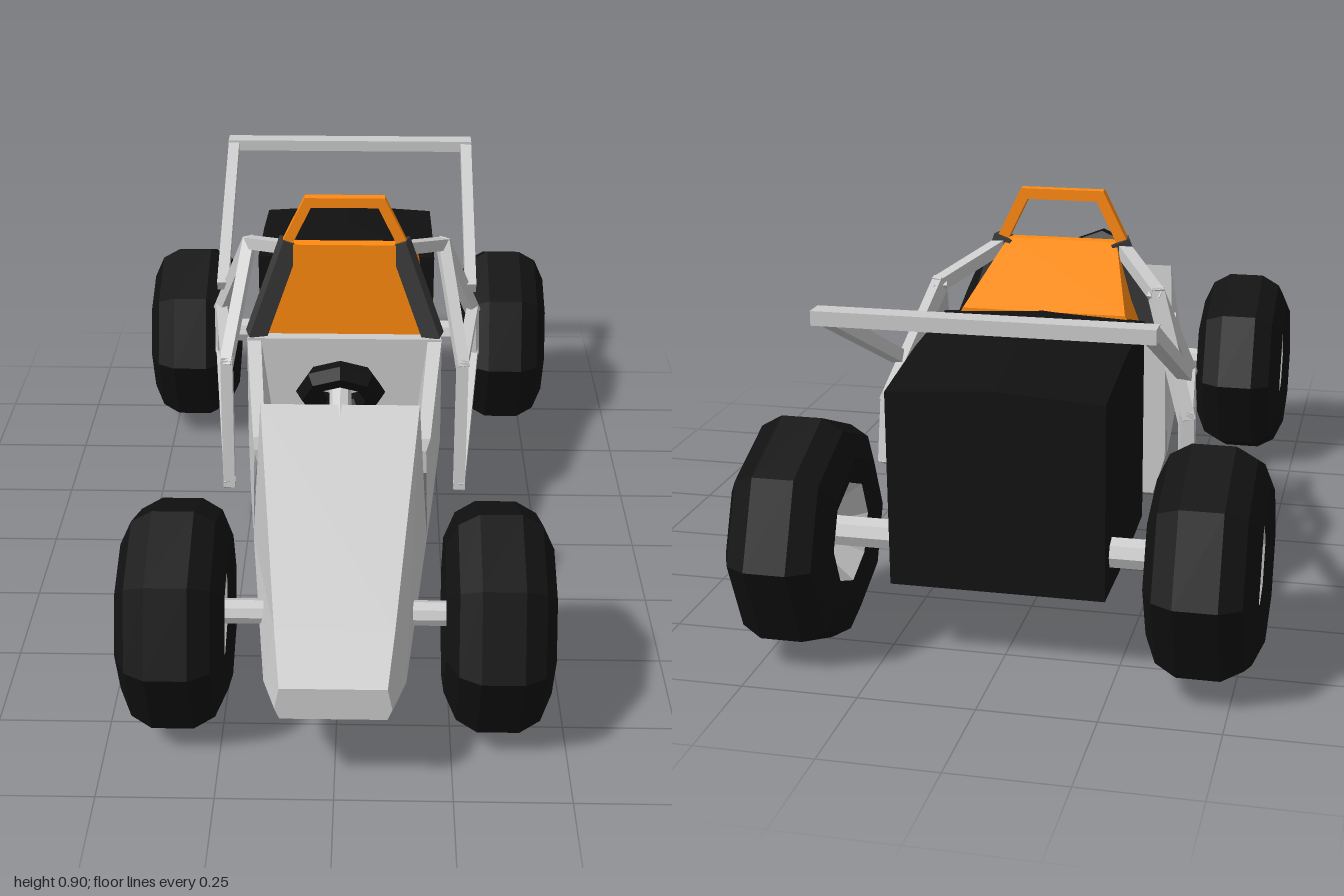
import * as THREE from 'three';

const mat = (color) => new THREE.MeshStandardMaterial({ color, flatShading: true });

export function createModel() {
  const model = new THREE.Group();
  const grey = mat(0xcccccc), black = mat(0x111111), dark = mat(0x3a3a3a), orange = mat(0xff8a10);

  const add = (name, geometry, material, parent = model) => {
    const mesh = new THREE.Mesh(geometry, material);
    mesh.name = name;
    parent.add(mesh);
    return mesh;
  };

  // Skin over mirrored half sections, listed front to back; each [z, [x, y], ...] runs bottom to top
  const loft = (name, sections, material, caps = true) => {
    const rings = sections.map(([z, ...half]) => [
      ...half.map(([x, y]) => [x, y, z]),
      ...half.slice().reverse().map(([x, y]) => [-x, y, z]),
    ]);
    const n = rings[0].length, index = [];
    for (let s = 0; s < rings.length - 1; s++) {
      for (let i = 0; i < n; i++) {
        const a = s * n + i, b = s * n + (i + 1) % n;
        index.push(a, a + n, b + n, a, b + n, b);
      }
    }
    if (caps) {
      const last = (rings.length - 1) * n;
      for (let i = 1; i < n - 1; i++) index.push(0, i, i + 1, last, last + i + 1, last + i);
    }
    const g = new THREE.BufferGeometry();
    g.setAttribute('position', new THREE.Float32BufferAttribute(rings.flat(2), 3));
    g.setIndex(index);
    g.computeVertexNormals();
    return add(name, g, material);
  };

  // Square bar between two points
  const bar = (name, a, b, size, material) => {
    const from = new THREE.Vector3(...a), to = new THREE.Vector3(...b);
    const mesh = add(name, new THREE.BoxGeometry(size, size, from.distanceTo(to) + size * 0.6), material);
    mesh.position.copy(from).lerp(to, 0.5);
    mesh.lookAt(to);
    return mesh;
  };
  const mirrorX = ([x, y, z]) => [-x, y, z];
  const barPair = (name, a, b, size, material) => {
    bar(name + 'Left', a, b, size, material);
    bar(name + 'Right', mirrorX(a), mirrorX(b), size, material);
  };

  // Nose and hood
  loft('hood', [
    [1.0, [0.11, 0.215], [0.12, 0.24], [0.11, 0.29]],
    [0.88, [0.13, 0.165], [0.15, 0.22], [0.125, 0.35]],
    [0.37, [0.18, 0.155], [0.203, 0.25], [0.18, 0.605]],
    [0.355, [0.18, 0.155], [0.204, 0.25], [0.185, 0.48]],
  ], grey);

  // Open cockpit tub with side rails
  loft('cockpit', [
    [0.36, [0.18, 0.155], [0.204, 0.25], [0.197, 0.48], [0.17, 0.48], [0.13, 0.2]],
    [0.2, [0.195, 0.155], [0.22, 0.25], [0.212, 0.425], [0.183, 0.425], [0.143, 0.2]],
    [-0.11, [0.22, 0.155], [0.248, 0.25], [0.245, 0.54], [0.21, 0.54], [0.17, 0.2]],
  ], grey, false);
  loft('bulkhead', [
    [-0.1, [0.218, 0.157], [0.246, 0.25], [0.243, 0.543]],
    [-0.13, [0.218, 0.157], [0.246, 0.25], [0.243, 0.543]],
  ], grey);

  // Engine housing, its narrow front part and the head fairing
  loft('engineFront', [
    [-0.12, [0.18, 0.17], [0.19, 0.53]],
    [-0.37, [0.18, 0.18], [0.19, 0.65]],
  ], black);
  loft('engineHousing', [
    [-0.36, [0.23, 0.19], [0.23, 0.655], [0, 0.667]],
    [-0.6, [0.23, 0.175], [0.23, 0.638], [0, 0.655]],
    [-0.82, [0.23, 0.18], [0.23, 0.605], [0, 0.62]],
  ], black);
  loft('headFairing', [
    [-0.13, [0.192, 0.54], [0.13, 0.785]],
    [-0.16, [0.192, 0.55], [0.13, 0.785]],
    [-0.365, [0.192, 0.655], [0.187, 0.665]],
  ], orange);

  // Dark seat posts and the orange hoop above them
  barPair('seatPost', [0.14, 0.775, -0.15], [0.22, 0.55, -0.13], 0.045, dark);
  barPair('hoopSide', [0.14, 0.79, -0.15], [0.09, 0.892, -0.15], 0.025, orange);
  bar('hoopTop', [0.09, 0.892, -0.15], [-0.09, 0.892, -0.15], 0.025, orange);

  // Tubular side cages
  const A = [0.3, 0.13, -0.09], B = [0.3, 0.465, -0.12], C = [0.34, 0.465, -0.45];
  const D = [0.345, 0.33, -0.465], E = [0.25, 0.71, -0.325], F = [0.15, 0.765, -0.165];
  [[A, B], [B, C], [C, D], [D, A], [B, E], [E, C], [F, E]]
    .forEach(([p, q], i) => barPair('cageTube' + (i + 1), p, q, 0.03, grey));

  // Rear rack frame
  const rackLow = [0.33, 0.555, -0.41], rackHigh = [0.33, 0.775, -0.88], rackEnd = [0.33, 0.78, -0.9];
  barPair('rackSide', rackLow, rackHigh, 0.03, grey);
  const rackBar = add('rackBar', new THREE.BoxGeometry(0.69, 0.03, 0.045), grey);
  rackBar.position.set(0, rackEnd[1], rackEnd[2] + 0.005);

  // Steering wheel and column
  const steering = new THREE.Group();
  steering.name = 'steering';
  steering.position.set(0, 0.61, 0.315);
  steering.lookAt(0, 0.61 + 0.5, 0.315 - 0.87);
  add('steeringWheel', new THREE.TorusGeometry(0.072, 0.03, 6, 8), black, steering);
  const column = new THREE.CylinderGeometry(0.025, 0.025, 0.1, 8).rotateX(Math.PI / 2);
  add('steeringColumn', column, grey, steering).position.z = -0.045;
  model.add(steering);

  // Wheels: eight-sided tyre with a dished hub on both faces
  const lathe = (pts) => new THREE.LatheGeometry(pts.map((p) => new THREE.Vector2(...p)), 8)
    .rotateZ(-Math.PI / 2);
  const side = [[0.113, 0.1], [0.17, 0.116], [0.228, 0.09], [0.254, 0.045]];
  const tyre = lathe([...side.map(([r, x]) => [r, -x]), ...side.slice().reverse()]);
  const hub = lathe([[0, -0.04], [0.06, -0.045], [0.113, -0.1], [0.113, 0.1], [0.06, 0.045], [0, 0.04]]);
  const addWheel = (name, x, z) => {
    const wheel = new THREE.Group();
    wheel.name = name;
    wheel.position.set(x, 0.258, z);
    add('tyre', tyre, black, wheel);
    add('hub', hub, grey, wheel);
    model.add(wheel);
  };
  for (const [end, x, z, r] of [['front', 0.348, 0.685, 0.028], ['rear', 0.439, -0.745, 0.034]]) {
    addWheel(end + 'WheelLeft', x, z);
    addWheel(end + 'WheelRight', -x, z);
    const axle = new THREE.CylinderGeometry(r, r, 2 * x - 0.06, 8).rotateZ(Math.PI / 2);
    add(end + 'Axle', axle, grey).position.set(0, 0.26, z);
  }
  return model;
}
